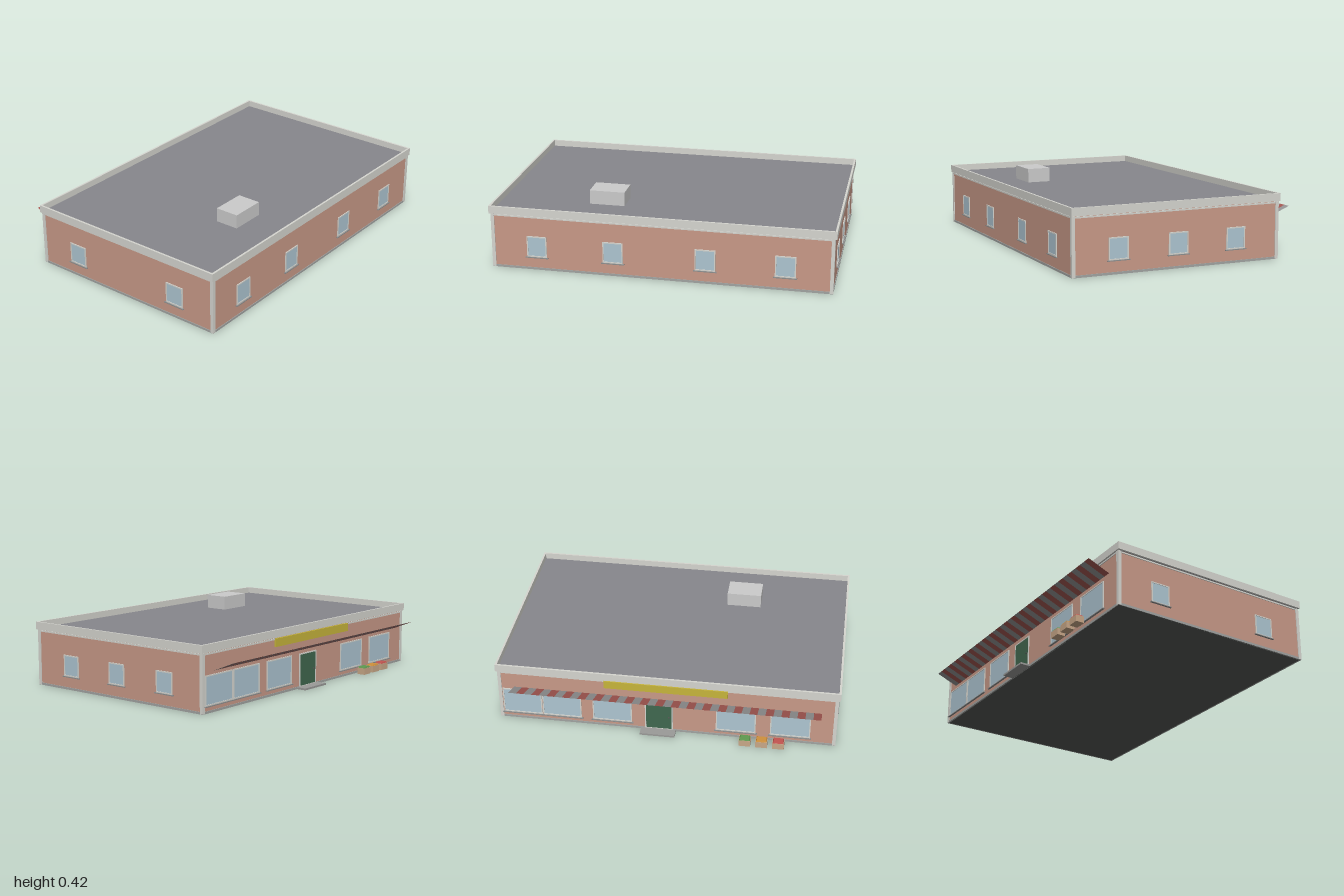
import * as THREE from 'three';

const mat = (color, extra = {}) => new THREE.MeshStandardMaterial({ color, ...extra });
const M = {
  wall: mat(0xc99a88), trim: mat(0xd6d6d0), plinth: mat(0xa2a4a2), roof: mat(0x87878c),
  vent: mat(0xbcbec0), glass: mat(0xaec6d2), sill: mat(0x8d8f8f), door: mat(0x40684f),
  sign: mat(0xc8b63c), red: mat(0xa85a54, { side: THREE.DoubleSide }),
  grey: mat(0x979797, { side: THREE.DoubleSide }), step: mat(0x9a9a98),
  crate: mat(0xc9a888), dark: mat(0x555855),
};

// wall planes of the building
const X = 0.985, ZF = 0.69, ZB = -0.565;
const ZC = (ZF + ZB) / 2, D = ZF - ZB;

export function createModel() {
  const root = new THREE.Group();
  root.name = 'shopBuilding';

  // box given by its min and max corners
  const box = (parent, name, m, x0, x1, y0, y1, z0, z1) => {
    const mesh = new THREE.Mesh(new THREE.BoxGeometry(x1 - x0, y1 - y0, z1 - z0), m);
    mesh.position.set((x0 + x1) / 2, (y0 + y1) / 2, (z0 + z1) / 2);
    mesh.name = name;
    parent.add(mesh);
    return mesh;
  };

  // rectangular ring with its wide faces along local z
  const ring = (parent, name, m, w, h, t, depth) => {
    const rect = (C, a, b) => {
      const s = new C();
      s.moveTo(-a, -b); s.lineTo(a, -b); s.lineTo(a, b); s.lineTo(-a, b); s.closePath();
      return s;
    };
    const shape = rect(THREE.Shape, w / 2, h / 2);
    shape.holes.push(rect(THREE.Path, w / 2 - t, h / 2 - t));
    const mesh = new THREE.Mesh(new THREE.ExtrudeGeometry(shape, { depth, bevelEnabled: false }), m);
    mesh.name = name;
    parent.add(mesh);
    return mesh;
  };

  // main volume, roof deck and parapet
  box(root, 'walls', M.wall, -X, X, 0.002, 0.33, ZB, ZF);
  box(root, 'floor', M.dark, -X, X, 0, 0.002, ZB, ZF);
  box(root, 'roofDeck', M.roof, -0.99, 0.99, 0.329, 0.337, ZB, ZF);
  const parapet = ring(root, 'parapet', M.trim, 2, 1.275, 0.012, 0.045);
  parapet.rotation.x = -Math.PI / 2;
  parapet.position.set(0, 0.33, ZC);

  // bands running around the foot and the top of the walls
  for (const [name, m, y, h] of [['plinth', M.plinth, 0, 0.013], ['topBand', M.trim, 0.317, 0.009]]) {
    const band = ring(root, name, m, 2 * X + 0.008, D + 0.008, 0.01, h);
    band.rotation.x = -Math.PI / 2;
    band.position.set(0, y, ZC);
  }

  // corner trims
  for (const sx of [-1, 1]) for (const sz of [-1, 1]) {
    const post = box(root, 'cornerTrim', M.trim, -0.01, 0.01, 0.002, 0.328, -0.01, 0.01);
    post.position.x = sx * 0.98;
    post.position.z = ZC + sz * (D / 2 - 0.005);
  }

  // window in the local frame of a wall, facing local +z
  const makeWindow = (wall, x, y0, y1, w) => {
    const g = new THREE.Group();
    g.name = 'window';
    g.position.set(x, (y0 + y1) / 2, 0);
    const h = y1 - y0;
    box(g, 'glass', M.glass, -w / 2 + 0.004, w / 2 - 0.004, -h / 2 + 0.004, h / 2 - 0.004, -0.004, 0.002);
    ring(g, 'windowFrame', M.trim, w, h, 0.007, 0.005);
    box(g, 'windowSill', M.sill, -w / 2 - 0.008, w / 2 + 0.008, -h / 2 - 0.005, -h / 2, 0, 0.011);
    wall.add(g);
  };
  const makeWall = (name, x, z, angle) => {
    const g = new THREE.Group();
    g.name = name;
    g.position.set(x, 0, z);
    g.rotation.y = angle;
    root.add(g);
    return g;
  };

  // small windows on the front and both ends
  const front = makeWall('frontWindows', 0, ZF, 0);
  for (const x of [-0.72, -0.27, 0.265, 0.72]) makeWindow(front, x, 0.078, 0.205, 0.118);
  const leftEnd = makeWall('leftEndWindows', X, 0, Math.PI / 2);
  for (const z of [0.423, 0.063, -0.295]) makeWindow(leftEnd, -z, 0.078, 0.202, 0.118);
  const rightEnd = makeWall('rightEndWindows', -X, 0, -Math.PI / 2);
  for (const z of [0.423, -0.295]) makeWindow(rightEnd, z, 0.078, 0.202, 0.118);

  // shop side: local x is mirrored because this wall faces -z
  const shop = makeWall('shopFront', 0, ZB, Math.PI);
  for (const x of [0.85, 0.615, 0.315, -0.41, -0.725]) makeWindow(shop, -x, 0.04, 0.207, 0.232);

  // door with frame, handle and step
  box(shop, 'door', M.door, -0.115, 0.035, 0.012, 0.2, -0.004, 0.003);
  const doorFrame = ring(shop, 'doorFrame', M.trim, 0.164, 0.198, 0.007, 0.005);
  doorFrame.position.set(-0.04, 0.106, 0);
  box(shop, 'doorHandle', M.dark, 0.014, 0.024, 0.096, 0.102, 0.003, 0.008);
  box(shop, 'doorStep', M.step, -0.145, 0.06, 0, 0.011, 0, 0.063);

  // plain sign board
  box(shop, 'signBoard', M.sign, -0.36, 0.36, 0.278, 0.326, 0, 0.012);

  // striped awning rising away from the wall
  const awning = new THREE.Group();
  awning.name = 'awning';
  const n = 40, x0 = -0.9, sw = 1.793 / n, run = 0.13, rise = 0.053;
  for (let i = 0; i < n; i++) {
    const strip = new THREE.Mesh(new THREE.PlaneGeometry(sw, Math.hypot(run, rise)), i % 2 ? M.grey : M.red);
    strip.rotation.x = -Math.PI / 2 + Math.atan2(rise, run);
    strip.position.set(x0 + (i + 0.5) * sw, 0.226 + rise / 2, -0.57 - run / 2);
    strip.name = 'awningStripe';
    awning.add(strip);
  }
  root.add(awning);

  // produce crates with a tapered heap on top
  [[-0.47, 0x5f9a50], [-0.567, 0xd0913c], [-0.664, 0xc25450]].forEach(([x, color]) => {
    const g = new THREE.Group();
    g.name = 'produceCrate';
    g.position.set(x, 0, -0.625);
    box(g, 'crateBox', M.crate, -0.034, 0.034, 0.003, 0.042, -0.025, 0.025);
    const heap = box(g, 'produce', mat(color), -0.031, 0.031, 0.042, 0.05, -0.023, 0.023);
    const p = heap.geometry.attributes.position;
    for (let i = 0; i < p.count; i++) {
      if (p.getY(i) > 0) p.setXYZ(i, p.getX(i) * 0.85, p.getY(i), p.getZ(i) * 0.85);
    }
    heap.geometry.computeVertexNormals();
    root.add(g);
  });

  // rooftop unit
  box(root, 'rooftopUnit', M.vent, -0.465, -0.257, 0.336, 0.42, 0.305, 0.447);

  return root;
}
